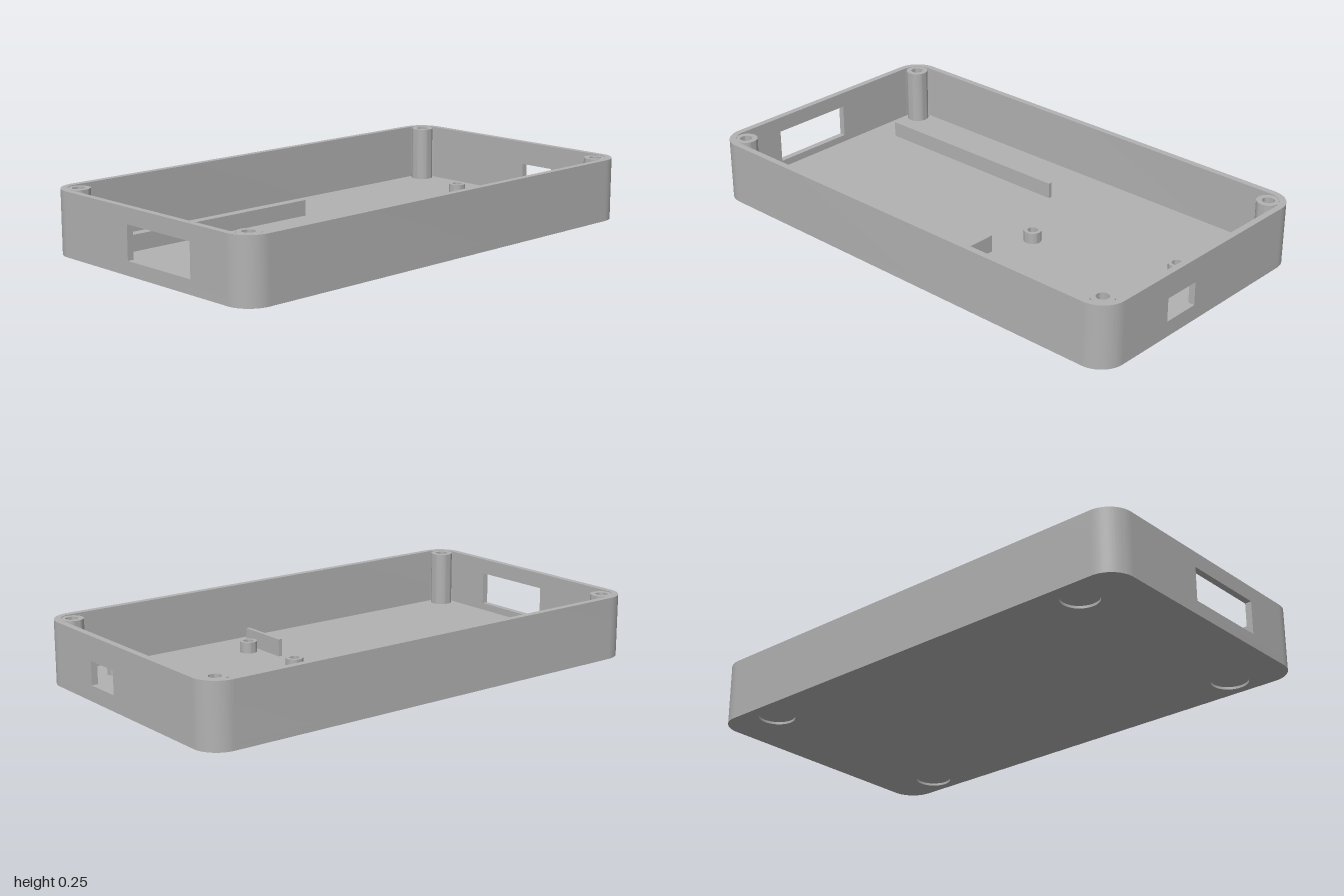
import * as THREE from 'three';
import { toCreasedNormals } from 'three/addons/utils/BufferGeometryUtils.js';

const W = 1, D = 0.5565, H = 0.25;   // half width, half depth, height
const R = 0.1, T = 0.026;            // corner radius, wall thickness
const FLOOR = 0.026, RECESS = 0.01;

const circle = (x, y, r) => new THREE.Path().absarc(x, y, r, 0, Math.PI * 2, true);

const extrude = (shape, depth) => toCreasedNormals(
  new THREE.ExtrudeGeometry(shape, { depth, bevelEnabled: false, curveSegments: 16 }), 0.6);

// Extrude a plan outline upwards from y0 to y1
const upright = (shape, y0, y1) => extrude(shape, y1 - y0).rotateX(-Math.PI / 2).translate(0, y0, 0);

function roundedPlan() {
  const s = new THREE.Shape();
  s.absarc(W - R, D - R, R, 0, Math.PI / 2);
  s.absarc(R - W, D - R, R, Math.PI / 2, Math.PI);
  s.absarc(R - W, R - D, R, Math.PI, Math.PI * 1.5);
  s.absarc(W - R, R - D, R, Math.PI * 1.5, Math.PI * 2);
  s.closePath();
  return s;
}

// Long wall with both of its rounded corners
function longWallPlan() {
  const s = new THREE.Shape();
  s.absarc(W - R, D - R, R, 0, Math.PI / 2);
  s.absarc(R - W, D - R, R, Math.PI / 2, Math.PI);
  s.absarc(R - W, D - R, R - T, Math.PI, Math.PI / 2, true);
  s.absarc(W - R, D - R, R - T, Math.PI / 2, 0, true);
  s.closePath();
  return s;
}

const rect = (Type, u0, u1, v0, v1) => new Type([
  new THREE.Vector2(u0, v0), new THREE.Vector2(u1, v0),
  new THREE.Vector2(u1, v1), new THREE.Vector2(u0, v1)]);

// Flat end wall with a window, outer or inner face at x
function endWall(x, z0, z1, y0, y1) {
  const s = rect(THREE.Shape, R - D, D - R, FLOOR, H);
  s.holes.push(rect(THREE.Path, z0, z1, y0, y1));
  return extrude(s, T).rotateY(-Math.PI / 2).translate(x, 0, 0);
}

// Hollow round post
function tube(outer, inner, y0, y1) {
  const s = new THREE.Shape().absarc(0, 0, outer, 0, Math.PI * 2);
  s.holes.push(circle(0, 0, inner));
  return upright(s, y0, y1);
}

export function createModel() {
  const group = new THREE.Group();
  group.name = 'enclosureBase';
  const grey = new THREE.MeshStandardMaterial({ color: 0xb2b2b2 });
  grey.name = 'grey plastic';
  const add = (name, geometry, x = 0, y = 0, z = 0) => {
    const mesh = new THREE.Mesh(geometry, grey);
    mesh.name = name;
    mesh.position.set(x, y, z);
    group.add(mesh);
    return mesh;
  };

  // Floor, with four shallow round foot recesses underneath
  const underside = roundedPlan();
  for (const x of [-0.767, 0.767])
    for (const z of [-0.45, 0.45]) underside.holes.push(circle(x, z, 0.072));
  add('underside', upright(underside, 0, RECESS));
  add('floor', upright(roundedPlan(), RECESS, FLOOR));

  // Walls
  const longWall = upright(longWallPlan(), FLOOR, H);
  add('backWall', longWall);
  add('frontWall', longWall).rotation.y = Math.PI;
  add('leftEndWall', endWall(W, 0.06, 0.215, 0.062, 0.155));
  add('rightEndWall', endWall(T - W, -0.087, 0.263, 0.055, 0.188));

  // Corner screw posts
  const post = tube(0.045, 0.024, FLOOR, H - 0.002);
  for (const x of [-0.924, 0.924])
    for (const z of [-0.481, 0.481]) add('screwPost', post, x, 0, z);

  // Board standoffs
  const standoff = tube(0.034, 0.02, FLOOR, 0.07);
  for (const [x, z] of [[0.776, -0.134], [0.215, 0.035], [0.215, 0.343], [0.788, 0.4]])
    add('standoff', standoff, x, 0, z);

  // Inner ribs
  const rib = (name, x0, x1, y1, z0, z1) => add(name,
    new THREE.BoxGeometry(x1 - x0, y1 - FLOOR, z1 - z0),
    (x0 + x1) / 2, (y1 + FLOOR) / 2, (z0 + z1) / 2);
  rib('longRib', -0.855, 0.027, 0.09, -0.29, -0.274);
  rib('shortRib', 0.149, 0.164, 0.095, 0.208, 0.428);

  return group;
}
